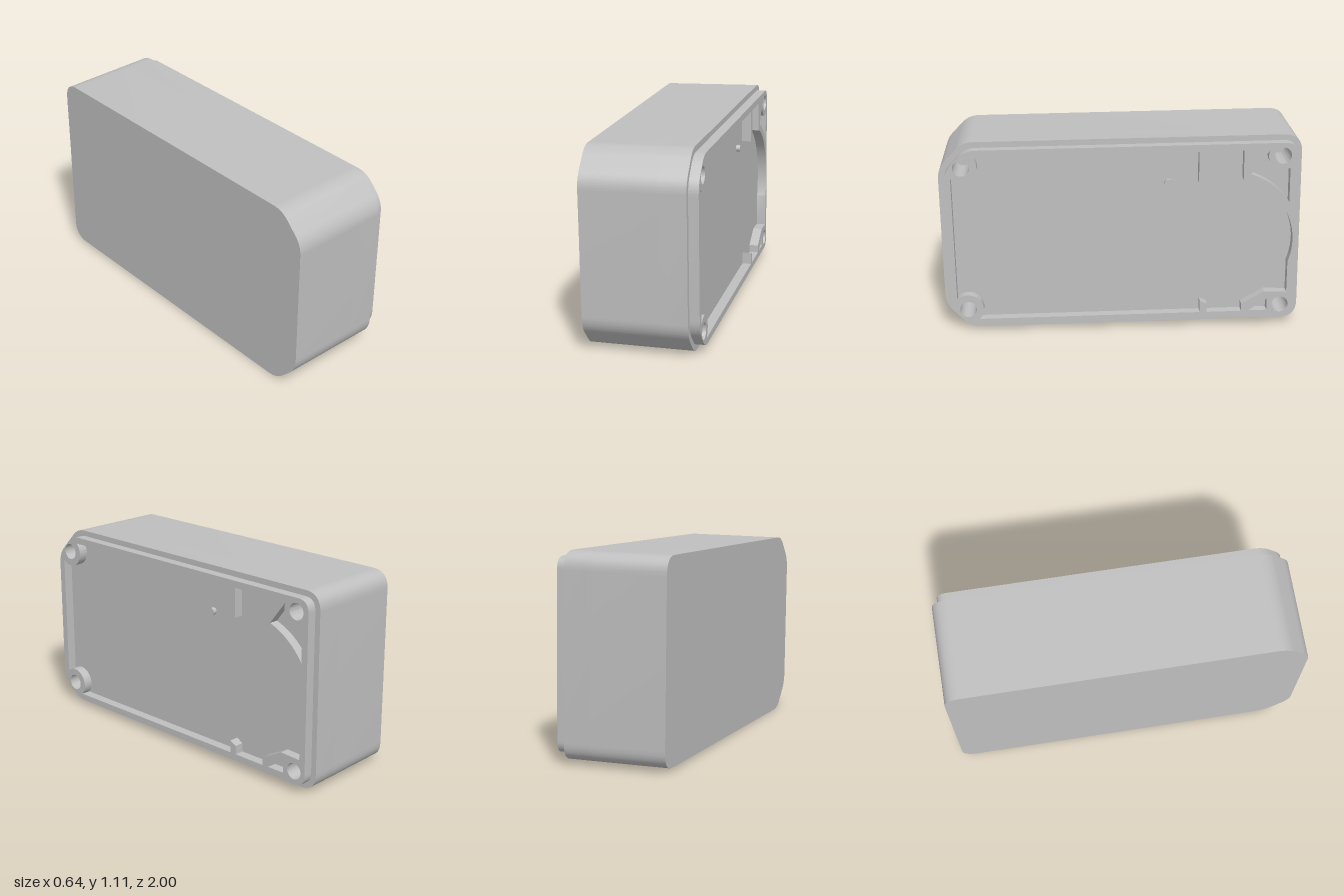
import * as THREE from 'three';
import { toCreasedNormals } from 'three/addons/utils/BufferGeometryUtils.js';

const BACK = -0.312, SCREW_DEPTH = 0.1, FLOOR = 0.252, RIM = 0.306;
const SCREWS = [[-0.865, 0.415], [-0.865, -0.415], [0.885, 0.44], [0.89, -0.44]];

// Polygon whose corners [u, v, cut] are rounded off
function roundedShape(points) {
  const shape = new THREE.Shape();
  const n = points.length;
  const toward = (a, b) => {
    const t = a[2] / Math.hypot(b[0] - a[0], b[1] - a[1]);
    return [a[0] + (b[0] - a[0]) * t, a[1] + (b[1] - a[1]) * t];
  };
  points.forEach((p, i) => {
    const start = toward(p, points[(i + n - 1) % n]);
    const end = toward(p, points[(i + 1) % n]);
    if (i === 0) shape.moveTo(...start); else shape.lineTo(...start);
    shape.quadraticCurveTo(p[0], p[1], ...end);
  });
  shape.closePath();
  return shape;
}

// Case outline: two chamfered corners in front, two round ones behind
function outline(inset) {
  const end = 0.995 - inset, side = 0.545 - inset, k = inset * 0.414;
  return roundedShape([
    [-end, -0.40 + k, 0.06], [-0.855 + k, -side, 0.06], [end, -side, 0.1 - inset],
    [end, side, 0.1 - inset], [-0.855 + k, side, 0.06], [-end, 0.40 - k, 0.06],
  ]);
}

function addScrewHoles(shape) {
  for (const [u, v] of SCREWS) {
    shape.holes.push(new THREE.Path().absarc(u, v, 0.046, 0, Math.PI * 2, false));
  }
  return shape;
}

// Extrude along +x; shape u runs towards -z
function slab(shape, x0, x1, draft) {
  const geo = new THREE.ExtrudeGeometry(shape, { depth: x1 - x0, bevelEnabled: false, curveSegments: 20 });
  geo.rotateY(Math.PI / 2).translate(x0, 0, 0);
  if (draft) {
    const pos = geo.attributes.position;
    for (let i = 0; i < pos.count; i++) {
      const t = (FLOOR - pos.getX(i)) / (FLOOR - BACK);
      pos.setY(i, pos.getY(i) * (1 - 0.009 * t));
      pos.setZ(i, pos.getZ(i) * (1 - 0.004 * t));
    }
  }
  return toCreasedNormals(geo, 0.5);
}

// Recess contour: runs around the front screw posts, ribs and rear blocks
function cavity() {
  const p = new THREE.Path();
  const to = (...pts) => pts.forEach(([u, v]) => p.lineTo(u, v));
  p.moveTo(-0.925, -0.355);
  to([-0.925, 0.355]);
  p.absarc(-0.865, 0.415, 0.085, Math.PI * 1.25, Math.PI * 0.25, false);
  to([0.425, 0.475], [0.425, 0.295], [0.465, 0.31], [0.465, 0.475], [0.67, 0.475]);
  p.absarc(0.58, -0.05, 0.37, 1.325, -0.36, true);
  to([0.925, -0.365], [0.80, -0.36], [0.67, -0.43], [0.67, -0.475]);
  to([0.475, -0.475], [0.475, -0.425], [0.435, -0.405], [0.435, -0.475]);
  p.absarc(-0.865, -0.415, 0.085, -Math.PI * 0.25, Math.PI * 0.75, false);
  p.closePath();
  return p;
}

// Pocket between the curved wall and the upper rear screw post
function upperPocket() {
  const p = new THREE.Path();
  p.moveTo(0.71, 0.475);
  p.absarc(0.58, -0.05, 0.41, 1.248, 0.571, true);
  p.absarc(0.885, 0.44, 0.08, -Math.PI / 3, Math.PI - 0.453, true);
  p.closePath();
  return p;
}

function lowerPocket() {
  return new THREE.Path([[0.71, -0.473], [0.815, -0.404], [0.815, -0.473], [0.71, -0.473]]
    .map(([u, v]) => new THREE.Vector2(u, v)));
}

export function createModel() {
  const plastic = new THREE.MeshStandardMaterial({ color: 0xbfbfbf });
  plastic.name = 'grey plastic';

  const enclosure = new THREE.Group();
  enclosure.name = 'enclosure';
  const add = (name, geo) => {
    const mesh = new THREE.Mesh(geo, plastic);
    mesh.name = name;
    enclosure.add(mesh);
    return mesh;
  };

  // Body, with screw holes in its outer layer
  add('bodyBack', slab(outline(0), BACK, SCREW_DEPTH, true));
  add('bodyFront', slab(addScrewHoles(outline(0)), SCREW_DEPTH, FLOOR, true));

  // Raised lip with posts, ribs and curved wall
  const lip = addScrewHoles(outline(0.032));
  lip.holes.push(cavity(), upperPocket(), lowerPocket());
  add('lip', slab(lip, FLOOR - 0.001, RIM, false));

  // Small locating peg on the floor
  const peg = add('peg', new THREE.CylinderGeometry(0.02, 0.02, 0.025, 24).rotateZ(-Math.PI / 2));
  peg.position.set(FLOOR + 0.01, 0.29, -0.26);

  // Slight overall tilt
  enclosure.rotation.set(0.0114, -0.0075, 0.009);
  enclosure.position.y = 0.555;

  const model = new THREE.Group();
  model.name = 'case';
  model.add(enclosure);

  // Settle on the ground and centre
  model.updateMatrixWorld(true);
  const box = new THREE.Box3().setFromObject(model, true);
  const c = box.getCenter(new THREE.Vector3());
  enclosure.position.x -= c.x;
  enclosure.position.y -= box.min.y;
  enclosure.position.z -= c.z;
  return model;
}
